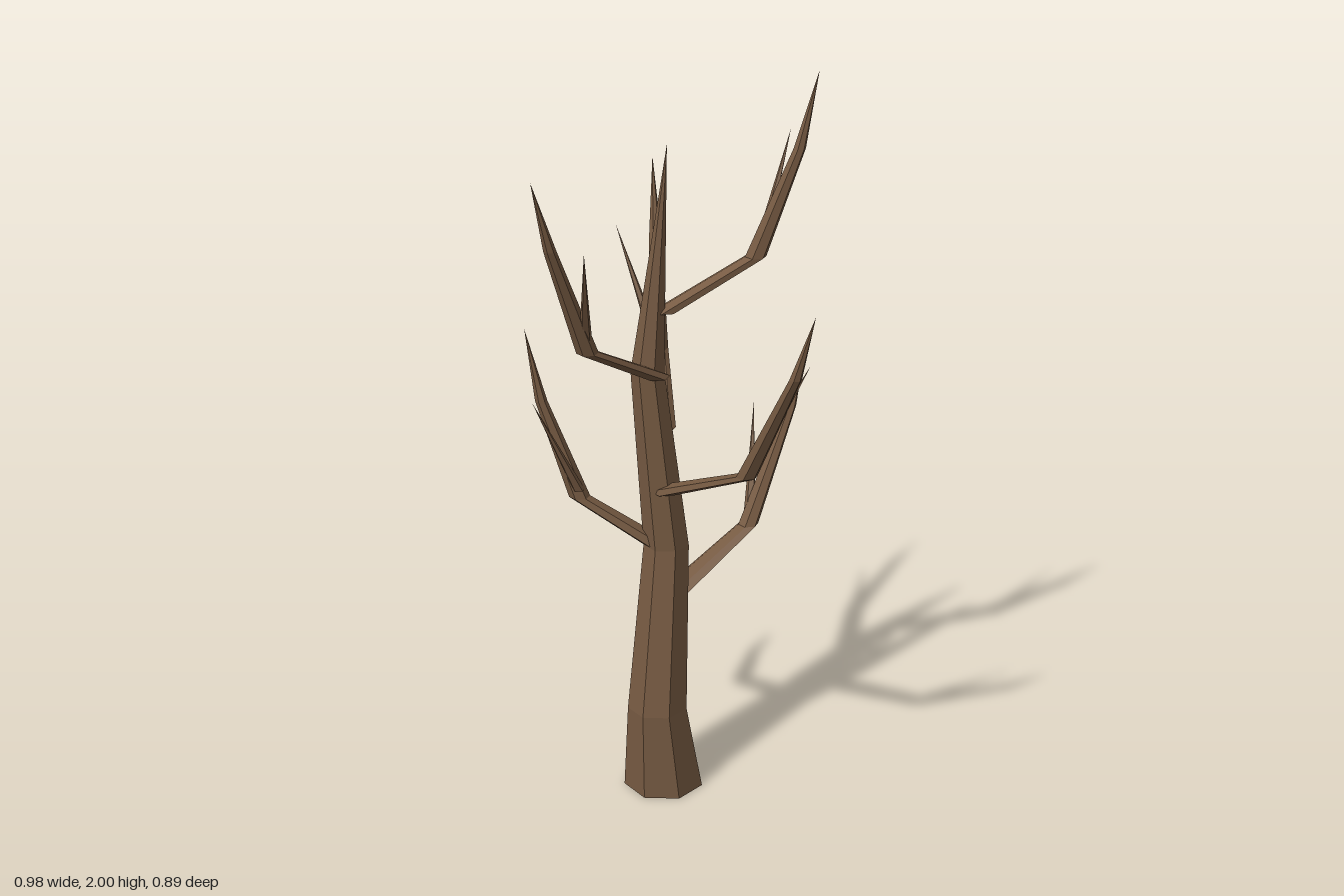
import * as THREE from 'three';

// Loft through horizontal rings [x, y, z, radius]; the last entry is a sharp tip.
function limbGeometry(rings, sides, phase = 0) {
  const pos = [];
  const corner = ([x, y, z, r], i) => {
    const a = phase + (i / sides) * Math.PI * 2;
    return [x + r * Math.sin(a), y, z + r * Math.cos(a)];
  };
  for (let i = 0; i < sides; i++) {
    // flat cap under the first ring
    pos.push(...rings[0].slice(0, 3), ...corner(rings[0], i + 1), ...corner(rings[0], i));
    for (let k = 0; k < rings.length - 1; k++) {
      const a = corner(rings[k], i), b = corner(rings[k], i + 1);
      const c = corner(rings[k + 1], i + 1), d = corner(rings[k + 1], i);
      pos.push(...a, ...b, ...c);
      if (rings[k + 1][3] > 0) pos.push(...a, ...c, ...d);
    }
  }
  const g = new THREE.BufferGeometry();
  g.setAttribute('position', new THREE.Float32BufferAttribute(pos, 3));
  g.computeVertexNormals();
  return g;
}

export function createModel() {
  const tree = new THREE.Group();
  tree.name = 'bareTree';
  const bark = new THREE.MeshStandardMaterial({ color: 0x765a42, flatShading: true });
  bark.name = 'brown bark';

  const add = (parent, name, rings, sides, phase) => {
    const mesh = new THREE.Mesh(limbGeometry(rings, sides, phase), bark);
    mesh.name = name;
    parent.add(mesh);
  };

  // Trunk: bends slightly and runs out to a point
  add(tree, 'trunk', [
    [-0.025, 0, -0.085, 0.11],
    [-0.052, 0.25, -0.077, 0.082],
    [-0.005, 0.72, -0.093, 0.062],
    [-0.05, 1.22, -0.112, 0.045],
    [-0.005, 1.82, -0.085, 0],
  ], 7, -0.3);

  // Branches: root, elbow, bend and tip, each with one twig [root, tip]
  const branches = [
    { name: 'topBranch', r: 0.032,
      path: [[-0.01, 1.38, -0.087], [0.18, 1.52, 0.045], [0.27, 1.8, 0.105], [0.31, 2.0, 0.13]],
      twig: [[0.195, 1.55, 0.05], [0.32, 1.825, 0.018]] },
    { name: 'upperRightBranch', r: 0.036,
      path: [[-0.045, 1.21, -0.083], [-0.3, 1.35, -0.042], [-0.43, 1.65, -0.014], [-0.49, 1.835, -0.005]],
      twig: [[-0.31, 1.385, -0.035], [-0.4, 1.66, 0.08]] },
    { name: 'backLeftBranch', r: 0.038,
      path: [[-0.01, 1.05, -0.105], [0.14, 1.18, -0.3], [0.215, 1.47, -0.4], [0.24, 1.665, -0.44]],
      twig: [[0.135, 1.2, -0.305], [0.12, 1.495, -0.45]] },
    { name: 'frontBranch', r: 0.042,
      path: [[-0.025, 0.885, -0.075], [-0.004, 1.02, 0.225], [0.005, 1.33, 0.39], [0.017, 1.505, 0.445]],
      twig: [[0.01, 1.05, 0.235], [0.11, 1.325, 0.333]] },
    { name: 'lowLeftBranch', r: 0.04,
      path: [[0.02, 0.57, -0.087], [0.285, 0.69, -0.09], [0.435, 1.0, -0.09], [0.488, 1.17, -0.09]],
      twig: [[0.295, 0.72, -0.095], [0.39, 0.99, -0.19]] },
    { name: 'lowBackBranch', r: 0.038,
      path: [[-0.025, 0.72, -0.11], [-0.185, 0.86, -0.235], [-0.255, 1.13, -0.3], [-0.285, 1.33, -0.325]],
      twig: [[-0.195, 0.885, -0.225], [-0.335, 1.165, -0.23]] },
  ];

  for (const { name, r, path, twig } of branches) {
    const group = new THREE.Group();
    group.name = name;
    const radii = [r, 0.028, 0.016, 0];
    add(group, name + 'Limb', path.map((p, i) => [...p, radii[i]]), 6);
    add(group, name + 'Twig', [[...twig[0], 0.017], [...twig[1], 0]], 5);
    tree.add(group);
  }
  return tree;
}
